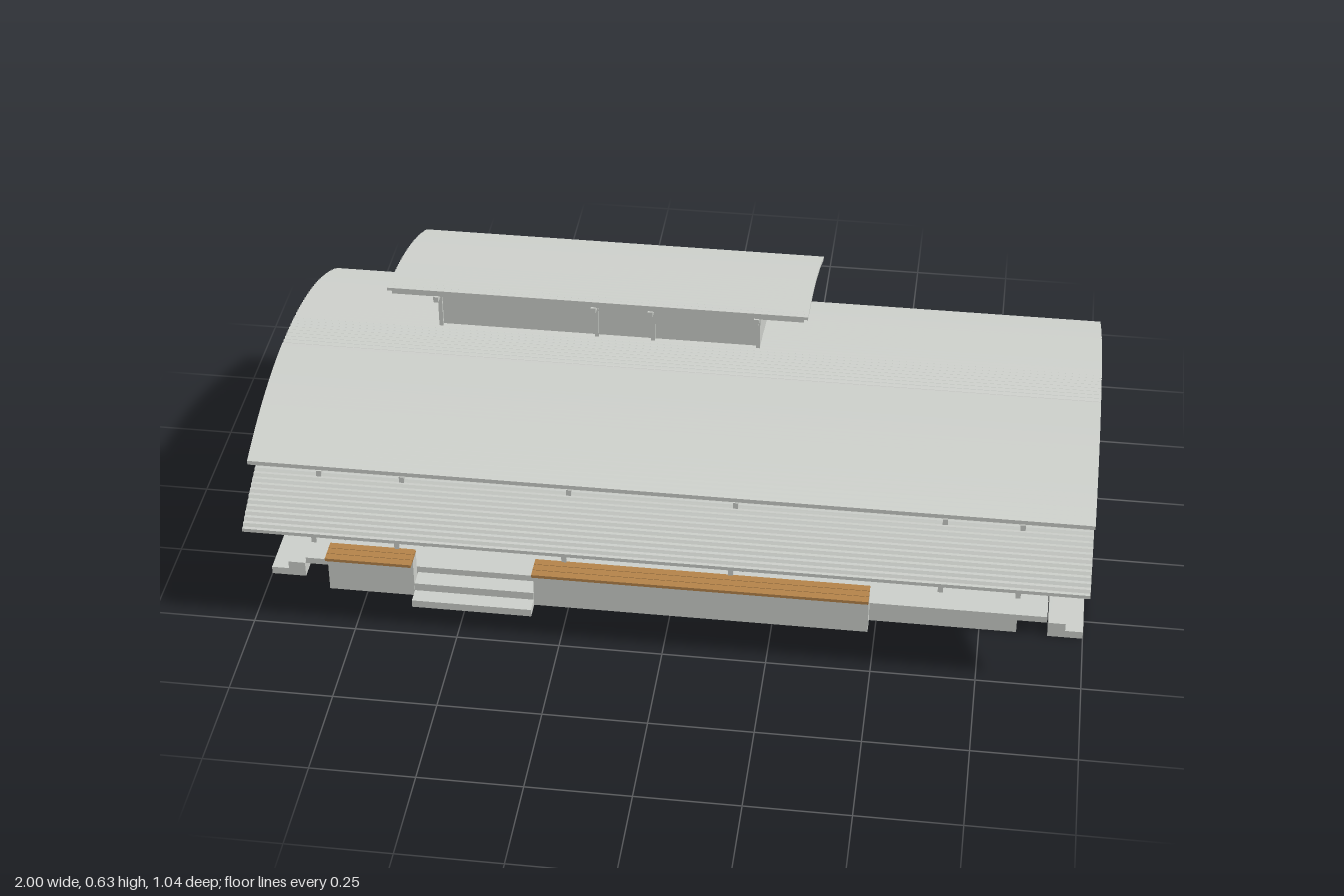
import * as THREE from 'three';
import { toCreasedNormals } from 'three/addons/utils/BufferGeometryUtils.js';

const material = (name, color) => {
  const m = new THREE.MeshStandardMaterial({ color });
  m.name = name;
  return m;
};

export function createModel() {
  const model = new THREE.Group();
  model.name = 'pavilion';
  const grey = material('pale grey', 0xcdd0cb);
  const wood = material('timber', 0xb5844a);

  const add = (name, geometry, mat = grey) => {
    const mesh = new THREE.Mesh(geometry, mat);
    mesh.name = name;
    model.add(mesh);
    return mesh;
  };
  // Box given by its limits on each axis
  const box = (name, x0, x1, y0, y1, z0, z1, mat) => {
    const g = new THREE.BoxGeometry(x1 - x0, y1 - y0, z1 - z0);
    g.translate((x0 + x1) / 2, (y0 + y1) / 2, (z0 + z1) / 2);
    return add(name, g, mat);
  };
  // Side profile in (z, y), extruded from x0 to x1
  const profile = (name, points, x0, x1, crease = 0.2) => {
    let g = new THREE.ExtrudeGeometry(new THREE.Shape(points), { depth: x1 - x0, bevelEnabled: false });
    g.rotateY(-Math.PI / 2);
    g.translate(x1, 0, 0);
    g = toCreasedNormals(g, crease);
    return add(name, g);
  };
  // Round bar between two (z, y) points in the plane x
  const bar = (name, x, a, b, r = 0.0055) => {
    const from = new THREE.Vector3(x, a[1], a[0]);
    const to = new THREE.Vector3(x, b[1], b[0]);
    const dir = to.clone().sub(from);
    const mesh = add(name, new THREE.CylinderGeometry(r, r, dir.length(), 8));
    mesh.position.copy(from).add(to).multiplyScalar(0.5);
    mesh.quaternion.setFromUnitVectors(new THREE.Vector3(0, 1, 0), dir.normalize());
  };

  // All roofs share one centre of curvature
  const CZ = 0.02, CY = -0.583;
  const MAIN = 1.09, LOWER = 1.014, UPPER = 1.215;
  const roofY = (r, z) => CY + Math.sqrt(r * r - (z - CZ) ** 2);
  const arc = (r, z0, z1, n, ripple = 0) => {
    const a0 = Math.asin((z0 - CZ) / r), a1 = Math.asin((z1 - CZ) / r);
    return Array.from({ length: n + 1 }, (_, i) => {
      const a = a0 + (a1 - a0) * i / n;
      const q = r - (i % 2 ? ripple : 0);
      return new THREE.Vector2(CZ + q * Math.sin(a), CY + q * Math.cos(a));
    });
  };
  const band = (name, r, thick, z0, z1, x0, x1, n = 24, ripple = 0) =>
    profile(name, [...arc(r, z0, z1, n, ripple), ...arc(r - thick, z0, z1, n, ripple).reverse()], x0, x1);
  const corrugated = (name, r, z0, z1, x0, x1) =>
    band(name, r, 0.008, z0, z1, x0, x1, 2 * Math.round((z1 - z0) / 0.014), 0.004);
  const rafters = (name, r, z0, z1, xs) =>
    xs.forEach(x => band(name, r - 0.018, 0.015, z0, z1, x - 0.006, x + 0.006));
  const purlins = (name, r, z0, z1, x0, x1, count) => {
    for (let i = 0; i < count; i++) {
      const z = z0 + (z1 - z0) * i / (count - 1);
      const y = roofY(r - 0.013, z);
      box(name, x0, x1, y - 0.006, y + 0.005, z - 0.004, z + 0.004);
    }
  };

  // Base, floor and steps
  box('base', -0.845, 0.84, 0, 0.041, -0.465, 0.31);
  box('floorSlab', -0.912, 0.912, 0.041, 0.058, -0.477, 0.315);
  for (const s of [-1, 1]) {
    const side = (name, a, b, y0, y1) =>
      box(name, Math.min(s * a, s * b), Math.max(s * a, s * b), y0, y1, -0.12, 0.315);
    side('sideStepLower', 0.915, 1, 0, 0.02);
    side('sideStepUpper', 0.915, 0.957, 0.02, 0.041);
  }
  box('frontStepLower', -0.63, -0.335, 0, 0.02, 0.315, 0.4);
  box('frontStepUpper', -0.63, -0.335, 0.02, 0.041, 0.315, 0.36);

  // Low walls with slatted timber seats
  for (const [x0, x1] of [[-0.845, -0.632], [-0.335, 0.483]]) {
    box('benchWall', x0, x1, 0, 0.106, 0.318, 0.355);
    for (let i = 0; i < 3; i++) {
      const z = 0.318 + i * 0.0215;
      box('seatSlat', x0, x1, 0.106, 0.114, z, z + 0.02, wood);
    }
  }
  // Bench beside the end wall
  box('sideBenchWall', -0.69, -0.635, 0.058, 0.1, -0.45, -0.14);
  for (let i = 0; i < 3; i++) {
    const x = -0.71 + i * 0.025;
    box('sideBenchSlat', x, x + 0.023, 0.1, 0.108, -0.45, -0.14, wood);
  }

  // Hall below the main roof
  const hallTop = arc(MAIN - 0.03, -0.455, 0.225, 24);
  profile('hall', [new THREE.Vector2(0.225, 0.058), ...hallTop.reverse(), new THREE.Vector2(-0.455, 0.058)], -0.63, 0.655);
  box('backWall', -0.7, 0.655, 0.058, roofY(MAIN - 0.03, -0.477), -0.477, -0.452);

  // Raised clerestory
  const clerestoryTop = arc(UPPER - 0.03, -0.477, -0.105, 16);
  profile('clerestory', [new THREE.Vector2(-0.105, 0.36), ...clerestoryTop.reverse(), new THREE.Vector2(-0.477, 0.34)], -0.635, 0.165);
  for (const x of [-0.63, -0.24, -0.1, 0.16]) {
    box('clerestoryMullion', x - 0.005, x + 0.005, 0.48, roofY(UPPER - 0.03, -0.1), -0.106, -0.098);
    box('clerestoryMullion', x - 0.005, x + 0.005, 0.36, roofY(UPPER - 0.03, -0.48), -0.484, -0.476);
  }

  // Roof sheets, rafters and purlins
  const frames = [-0.83, -0.63, -0.23, 0.165, 0.655, 0.835];
  corrugated('mainRoofBack', MAIN, -0.52, 0.04, -1, 1);
  band('mainRoofFront', MAIN, 0.01, 0.04, 0.425, -1, 1, 32);
  corrugated('lowerRoof', LOWER, 0.24, 0.52, -1, 1);
  corrugated('upperRoof', UPPER, -0.51, -0.05, -0.75, 0.285);
  rafters('mainRafter', MAIN, -0.51, 0.42, frames);
  rafters('lowerRafter', LOWER, 0.235, 0.51, frames);
  rafters('upperRafter', UPPER, -0.5, -0.05, [-0.63, -0.24, -0.1, 0.16]);
  purlins('mainPurlin', MAIN, -0.5, 0.41, -0.99, 0.99, 8);
  purlins('lowerPurlin', LOWER, 0.25, 0.505, -0.99, 0.99, 3);
  purlins('upperPurlin', UPPER, -0.495, -0.06, -0.74, 0.275, 4);

  // Posts and front struts on every frame
  for (const x of frames) {
    bar('frontPost', x, [0.23, 0.058], [0.23, roofY(MAIN - 0.03, 0.23)]);
    bar('frontStrut', x, [0.23, 0.06], [0.38, roofY(LOWER - 0.03, 0.38)]);
  }
  // Full open trusses at both ends
  for (const x of [-0.83, 0.835]) {
    const top = z => [z, roofY(MAIN - 0.03, z)];
    const foot = z => [z, 0.06];
    const zigzag = [foot(0.23), top(0.055), foot(-0.115), top(-0.245), foot(-0.375), top(-0.475)];
    for (let i = 0; i < 5; i++) bar('trussBrace', x, zigzag[i], zigzag[i + 1]);
    for (const z of [-0.115, -0.375]) bar('trussPost', x, foot(z), top(z));
    bar('kingPost', x, [0.055, 0.385], top(0.055));
    box('tieBeam', x - 0.006, x + 0.006, 0.377, 0.389, -0.45, 0.23);
  }
  return model;
}
